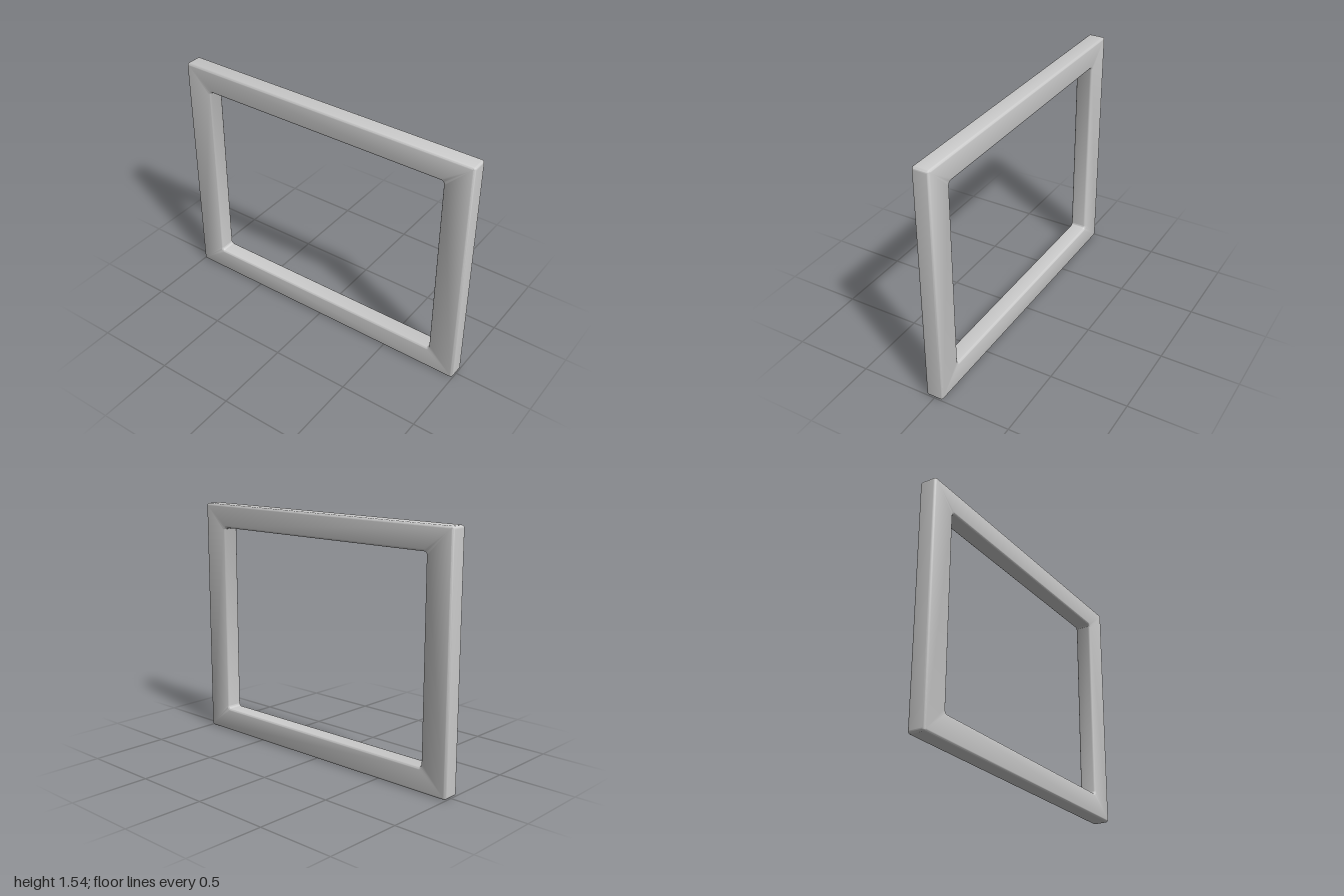
import * as THREE from 'three';
import { toCreasedNormals } from 'three/addons/utils/BufferGeometryUtils.js';

// Trace a rectangle with rounded corners into a Shape or Path
function roundedRect(path, x0, y0, x1, y1, r) {
  path.moveTo(x0 + r, y0);
  path.absarc(x1 - r, y0 + r, r, -Math.PI / 2, 0);
  path.absarc(x1 - r, y1 - r, r, 0, Math.PI / 2);
  path.absarc(x0 + r, y1 - r, r, Math.PI / 2, Math.PI);
  path.absarc(x0 + r, y0 + r, r, Math.PI, Math.PI * 1.5);
  return path;
}

export function createModel() {
  const group = new THREE.Group();
  group.name = 'rectangularFrame';

  const thickness = 0.11, bevel = 0.015;

  // Outer outline with the open window cut out
  const outline = roundedRect(new THREE.Shape(), -1, 0, 1, 1.54, 0.018);
  outline.holes.push(roundedRect(new THREE.Path(), -0.823, 0.153, 0.823, 1.388, 0.018));

  // Softly rounded edges on both faces, inside and outside
  const body = new THREE.ExtrudeGeometry(outline, {
    depth: thickness - 2 * bevel,
    bevelEnabled: true,
    bevelThickness: bevel,
    bevelSize: bevel,
    bevelOffset: -bevel,
    bevelSegments: 4,
    curveSegments: 5,
  });
  body.translate(0, 0, bevel - thickness / 2);
  body.rotateY(Math.PI / 2);

  const frame = new THREE.Mesh(
    toCreasedNormals(body, Math.PI / 4),
    new THREE.MeshStandardMaterial({ color: 0xcccccc })
  );
  frame.name = 'frame';
  group.add(frame);
  return group;
}
